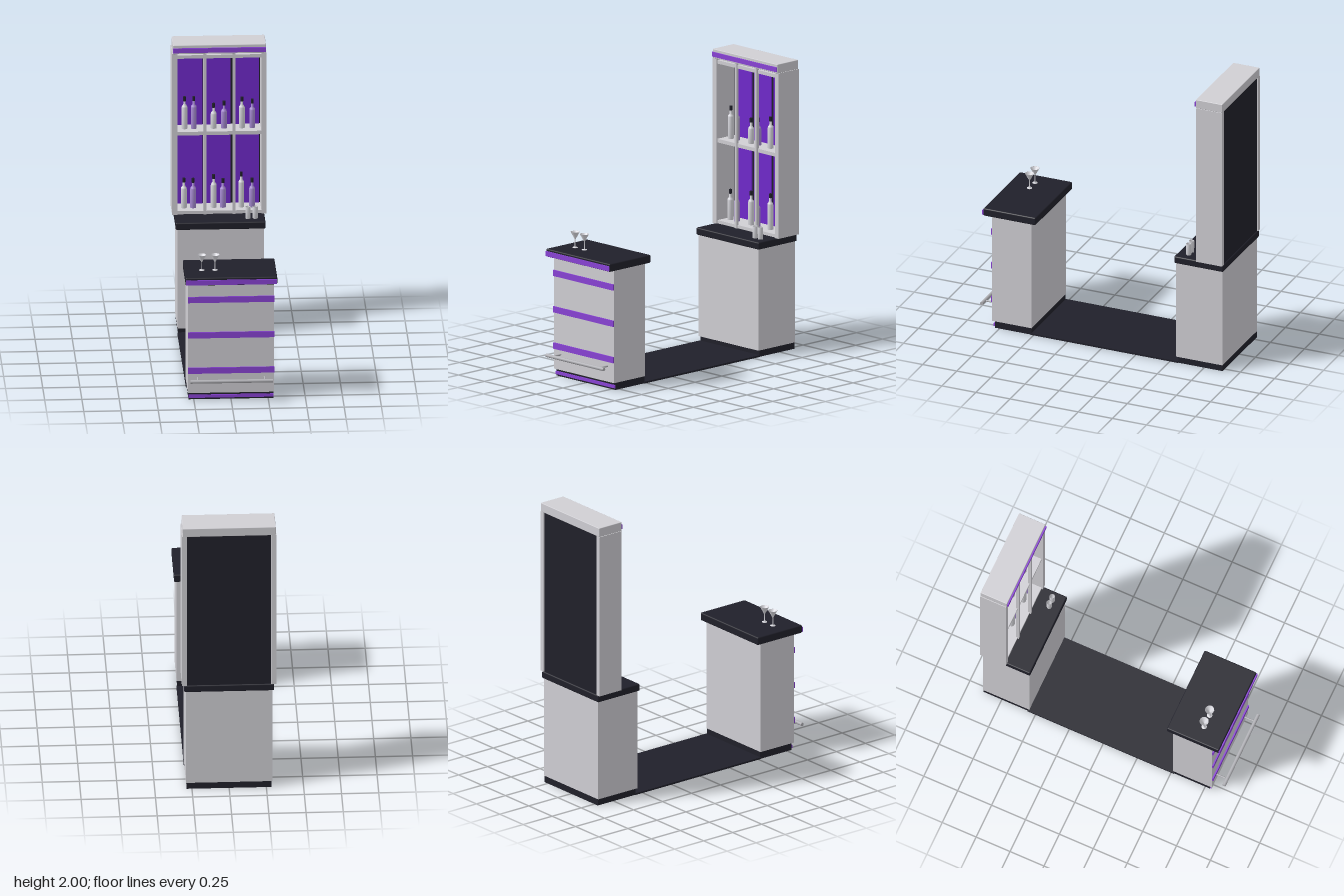
import * as THREE from 'three';
import { RoundedBoxGeometry } from 'three/addons/geometries/RoundedBoxGeometry.js';

const mat = (name, color, side = THREE.FrontSide) => {
  const m = new THREE.MeshStandardMaterial({ color, side });
  m.name = name;
  return m;
};

export function createModel() {
  const root = new THREE.Group();
  root.name = 'homeBar';

  const panelWhite = mat('panelWhite', 0xd0cfd4);
  const dark = mat('darkStone', 0x20202a);
  const backPurple = mat('backPurple', 0x7029cc);
  const trimPurple = mat('trimPurple', 0x8a43d6);
  const metal = mat('metal', 0xb0b0b5);
  const clear = mat('clearGlass', 0xdcdce2, THREE.DoubleSide);
  const lavender = mat('lavenderGlass', 0xab8fd8);

  const group = (name, parent = root) => {
    const g = new THREE.Group();
    g.name = name;
    parent.add(g);
    return g;
  };
  const add = (parent, name, geo, m, x = 0, y = 0, z = 0) => {
    const mesh = new THREE.Mesh(geo, m);
    mesh.name = name;
    mesh.position.set(x, y, z);
    parent.add(mesh);
    return mesh;
  };
  // Box given by its ranges on each axis; r rounds the edges
  const box = (parent, name, m, [x0, x1], [y0, y1], [z0, z1], r = 0) => {
    const s = [x1 - x0, y1 - y0, z1 - z0];
    const geo = r ? new RoundedBoxGeometry(...s, 2, r) : new THREE.BoxGeometry(...s);
    return add(parent, name, geo, m, (x0 + x1) / 2, (y0 + y1) / 2, (z0 + z1) / 2);
  };
  const lathe = (pts, seg = 16) =>
    new THREE.LatheGeometry(pts.map(p => new THREE.Vector2(...p)), seg);

  // Floor plate joining both counters
  box(root, 'floorPlate', dark, [-0.29, 0.29], [0, 0.012], [-0.56, 0.52]);

  // Front counter
  const front = group('frontCounter');
  box(front, 'plinth', dark, [-0.285, 0.285], [0, 0.05], [0.515, 0.785]);
  box(front, 'plinthTrim', trimPurple, [-0.285, 0.285], [0.012, 0.033], [0.785, 0.794]);
  box(front, 'body', panelWhite, [-0.29, 0.29], [0.05, 0.83], [0.515, 0.803]);
  box(front, 'worktop', dark, [-0.308, 0.308], [0.83, 0.885], [0.477, 0.86], 0.008);
  box(front, 'worktopTrim', trimPurple, [-0.306, 0.306], [0.836, 0.87], [0.859, 0.868]);
  for (const y of [0.21, 0.461, 0.712])
    box(front, 'bodyStripe', trimPurple, [-0.29, 0.29], [y - 0.021, y + 0.021], [0.803, 0.812]);

  // Foot rail
  const rail = group('footRail', front);
  add(rail, 'railBar', new THREE.CylinderGeometry(0.012, 0.012, 0.555, 16), metal, 0, 0.157, 0.885)
    .rotation.z = Math.PI / 2;
  for (const x of [-0.225, 0.225])
    add(rail, 'railBracket', new THREE.CylinderGeometry(0.006, 0.006, 0.085, 10), metal, x, 0.157, 0.843)
      .rotation.x = Math.PI / 2;

  // Cocktail glasses on the front counter
  const cocktail = lathe([[0, 0], [0.018, 0], [0.018, 0.003], [0.003, 0.007], [0.003, 0.058],
    [0.031, 0.11], [0.029, 0.11], [0, 0.062]], 20);
  for (const x of [-0.192, -0.103]) add(front, 'cocktailGlass', cocktail, clear, x, 0.885, 0.7);

  // Back counter
  const back = group('backCounter');
  box(back, 'plinth', dark, [-0.285, 0.285], [0, 0.045], [-0.885, -0.56]);
  box(back, 'body', panelWhite, [-0.29, 0.29], [0.045, 0.745], [-0.885, -0.545]);
  box(back, 'worktop', dark, [-0.302, 0.302], [0.745, 0.795], [-0.895, -0.535], 0.008);
  const tumbler = lathe([[0, 0], [0.017, 0], [0.018, 0.082], [0.015, 0.082], [0.014, 0.01], [0, 0.01]]);
  for (const x of [0.187, 0.236]) add(back, 'tumbler', tumbler, clear, x, 0.795, -0.615);

  // Shelf unit
  const shelf = group('shelfUnit');
  for (const s of [-1, 1])
    add(shelf, 'sidePanel', new THREE.BoxGeometry(0.035, 1.143, 0.19), panelWhite, s * 0.3, 1.3665, -0.8);
  box(shelf, 'backPanel', dark, [-0.283, 0.283], [0.795, 1.938], [-0.888, -0.872]);
  box(shelf, 'cap', panelWhite, [-0.313, 0.313], [1.937, 2], [-0.895, -0.7], 0.004);
  box(shelf, 'capTrim', trimPurple, [-0.311, 0.311], [1.948, 1.98], [-0.7, -0.691]);
  for (const x of [-0.19, 0, 0.19])
    box(shelf, 'backInlay', backPurple, [x - 0.083, x + 0.083], [0.82, 1.936], [-0.872, -0.864]);
  for (const [y0, y1] of [[0.796, 0.818], [1.355, 1.38], [1.9, 1.924]])
    box(shelf, 'shelfBoard', panelWhite, [-0.283, 0.283], [y0, y1], [-0.872, -0.715]);
  for (const x of [-0.098, 0.098])
    box(shelf, 'frontPost', panelWhite, [x - 0.01, x + 0.01], [0.796, 1.937], [-0.725, -0.705]);

  // Bottles: [x, height], clear and lavender in turn
  const bottle = (x, y, h, m) => {
    const g = group('bottle', shelf);
    g.position.set(x, y, -0.79);
    const b = h - 0.075;
    add(g, 'bottleGlass', lathe([[0, 0], [0.02, 0], [0.02, b], [0.017, b + 0.01],
      [0.008, b + 0.022], [0.008, h - 0.028]]), m);
    add(g, 'bottleCap', new THREE.CylinderGeometry(0.01, 0.01, 0.03, 14), dark, 0, h - 0.015, 0);
  };
  const rows = [
    [0.818, [[-0.235, 0.21], [-0.172, 0.207], [-0.034, 0.232], [0.028, 0.202], [0.151, 0.247], [0.224, 0.202]]],
    [1.38, [[-0.23, 0.225], [-0.168, 0.225], [-0.034, 0.175], [0.035, 0.19], [0.155, 0.217], [0.225, 0.2]]],
  ];
  for (const [y, list] of rows)
    list.forEach(([x, h], i) => bottle(x, y, h, i % 2 ? lavender : clear));

  return root;
}
